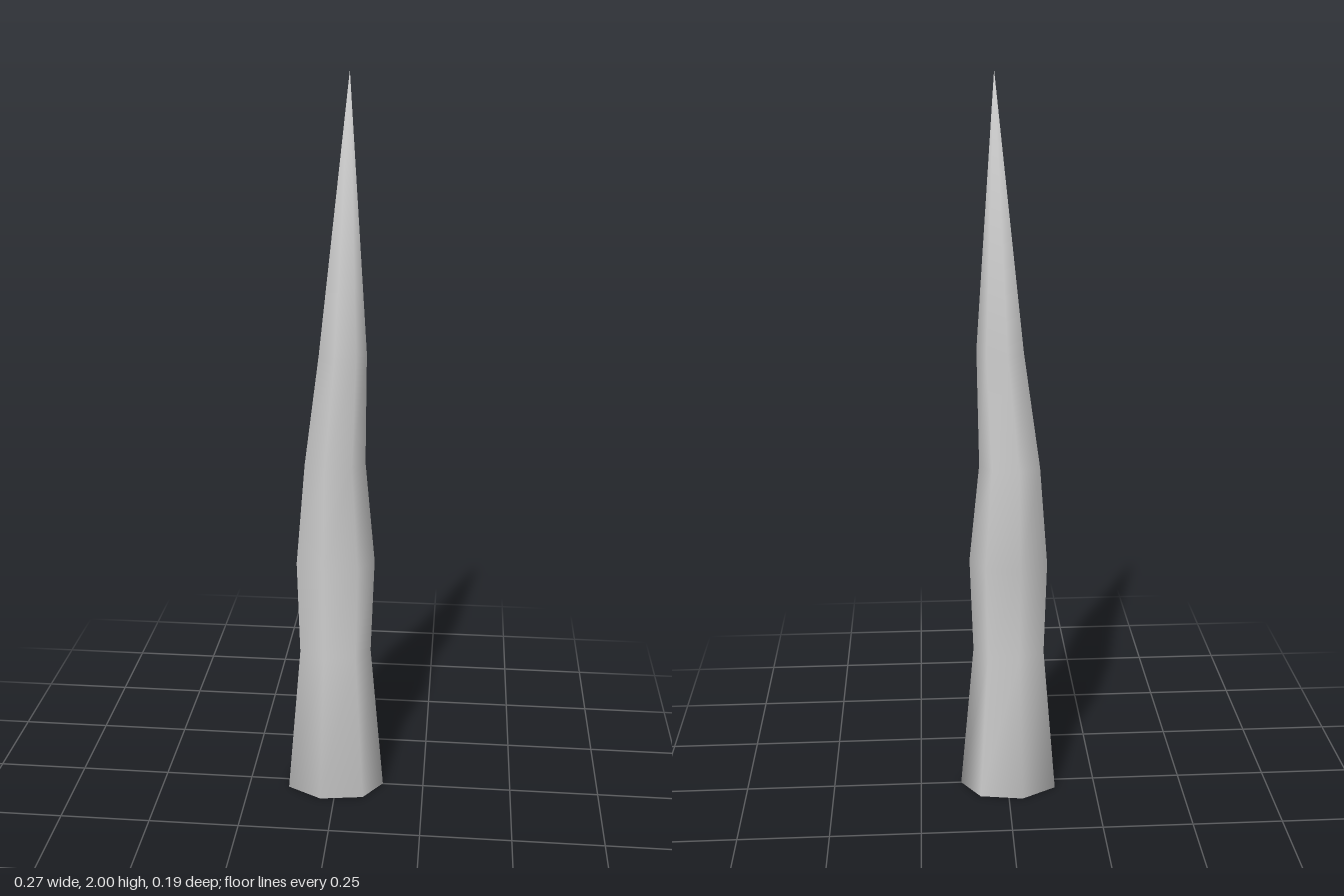
import * as THREE from 'three';

// Cross-sections from the ground up: height, min x, max x, min z, max z
const SECTIONS = [
  [0, -0.135, 0.134, -0.096, 0.095],
  [0.43, -0.1, 0.095, -0.067, 0.068],
  [0.7, -0.107, 0.104, -0.083, 0.084],
  [0.98, -0.085, 0.076, -0.086, 0.061],
  [1.29, -0.043, 0.08, -0.036, 0.077],
];
const TIP = [0.032, 2, 0.003];
const SIDES = 7;

function spikeGeometry() {
  const positions = [];
  const indices = [];
  const xMin = Math.cos((Math.PI * 6) / 7);
  const zMax = Math.sin((Math.PI * 4) / 7);

  // Seven-sided rings, each stretched to its own extents
  for (const [y, x0, x1, z0, z1] of SECTIONS) {
    for (let i = 0; i < SIDES; i++) {
      const a = (i / SIDES) * Math.PI * 2;
      const u = (Math.cos(a) - xMin) / (1 - xMin);
      const v = (Math.sin(a) / zMax + 1) / 2;
      positions.push(x0 + (x1 - x0) * u, y, z0 + (z1 - z0) * v);
    }
  }
  const tip = positions.length / 3;
  positions.push(...TIP);
  const last = (SECTIONS.length - 1) * SIDES;

  for (let i = 0; i < SIDES; i++) {
    const j = (i + 1) % SIDES;
    // Walls between neighbouring rings
    for (let r = 0; r < last; r += SIDES) {
      indices.push(r + i, r + SIDES + i, r + j);
      indices.push(r + j, r + SIDES + i, r + SIDES + j);
    }
    // Point at the top
    indices.push(last + i, tip, last + j);
    // Underside
    if (i > 0 && i < SIDES - 1) indices.push(0, i, i + 1);
  }

  const geometry = new THREE.BufferGeometry();
  geometry.setAttribute('position', new THREE.Float32BufferAttribute(positions, 3));
  geometry.setIndex(indices);
  geometry.computeVertexNormals();
  return geometry;
}

export function createModel() {
  const group = new THREE.Group();
  group.name = 'stoneSpike';
  const spike = new THREE.Mesh(
    spikeGeometry(),
    new THREE.MeshStandardMaterial({ color: 0xcccccc })
  );
  spike.name = 'spike';
  group.add(spike);
  return group;
}
